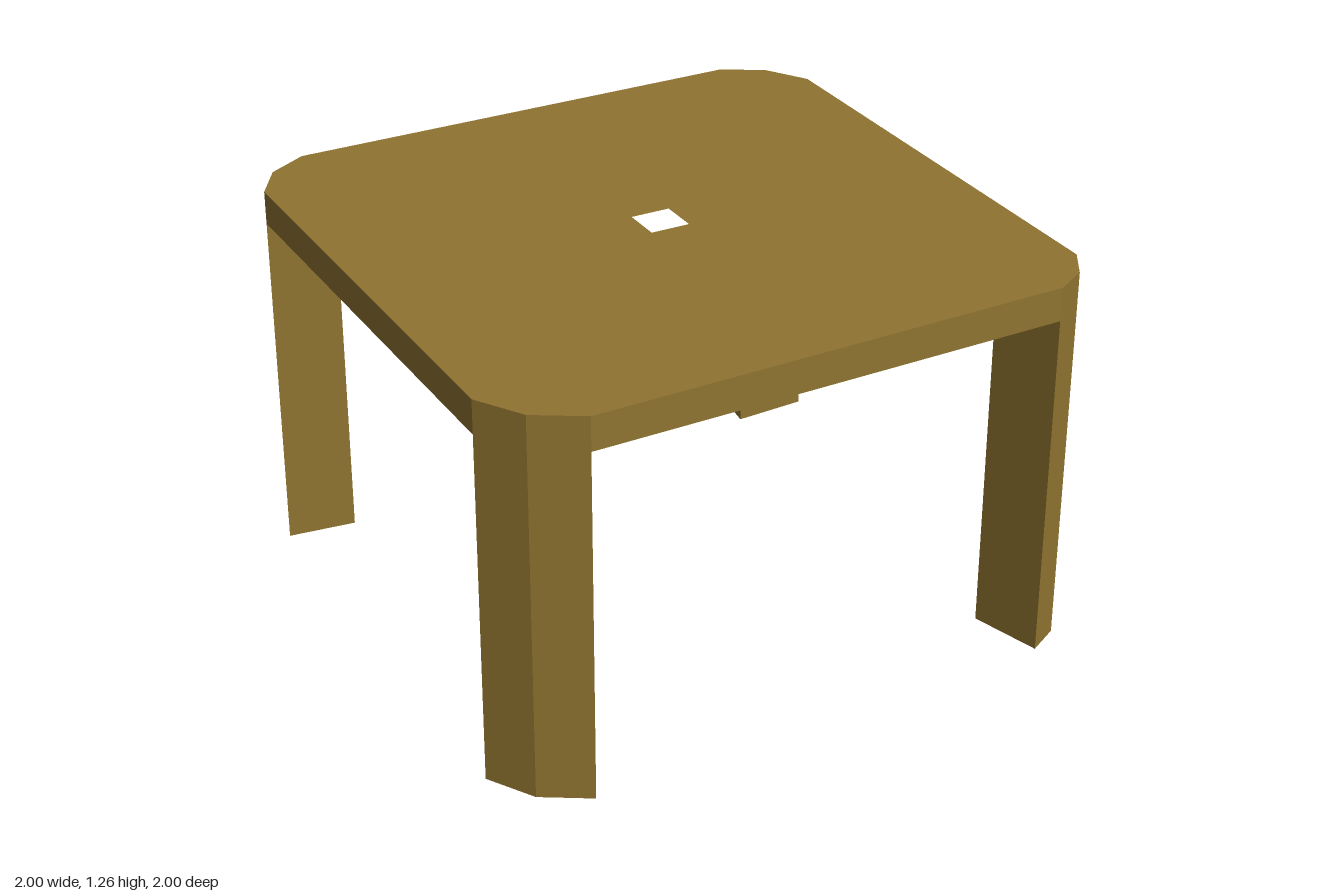
import * as THREE from 'three';

const LEG_HEIGHT = 1.155;
const TOP_HEIGHT = 1.265;

// Each corner: three rim points [x, z] in order around the top, then the leg's inner point
const corners = [
  { name: 'backRightLeg', rim: [[-0.99, -0.79], [-0.91, -0.92], [-0.78, -0.995]], inner: [-0.765, -0.765] },
  { name: 'backLeftLeg', rim: [[0.78, -1], [0.915, -0.92], [1, -0.78]], inner: [0.745, -0.765] },
  { name: 'frontLeftLeg', rim: [[0.98, 0.805], [0.915, 0.91], [0.81, 0.97]], inner: [0.745, 0.735] },
  { name: 'frontRightLeg', rim: [[-0.76, 1], [-0.91, 0.91], [-1, 0.76]], inner: [-0.76, 0.738] },
];

const toPoints = (list) => list.map(([x, z]) => new THREE.Vector2(x, -z));

// Upright prism over a plan outline, from y0 to y1
function prism(name, outline, y0, y1, material, hole) {
  const shape = new THREE.Shape(toPoints(outline));
  if (hole) shape.holes.push(new THREE.Path(toPoints(hole)));
  const geometry = new THREE.ExtrudeGeometry(shape, { depth: y1 - y0, bevelEnabled: false });
  geometry.rotateX(-Math.PI / 2).translate(0, y0, 0);
  const mesh = new THREE.Mesh(geometry, material);
  mesh.name = name;
  return mesh;
}

export function createModel() {
  const group = new THREE.Group();
  group.name = 'table';
  const wood = new THREE.MeshStandardMaterial({ color: 0x8f7431 });
  wood.name = 'oliveWood';

  // Tabletop with clipped corners and a small square hole
  const hole = [[-0.065, -0.07], [0.065, -0.07], [0.065, 0.06], [-0.065, 0.06]];
  const outline = corners.flatMap((c) => c.rim);
  group.add(prism('tabletop', outline, LEG_HEIGHT, TOP_HEIGHT, wood, hole));

  // Corner legs flush with the rim
  for (const { name, rim, inner } of corners) {
    group.add(prism(name, [...rim, inner], 0, LEG_HEIGHT, wood));
  }
  return group;
}
